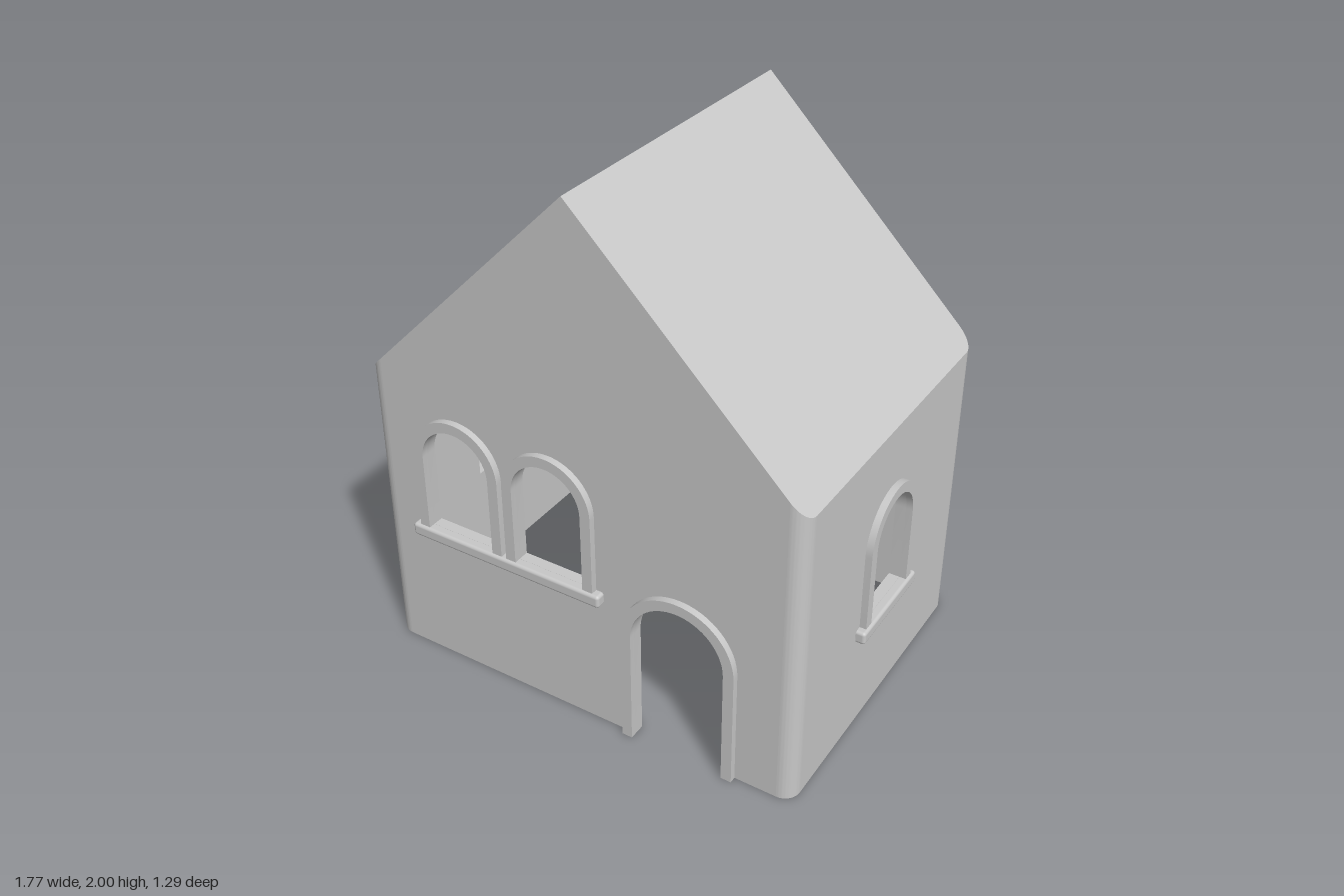
import * as THREE from 'three';
import { toCreasedNormals } from 'three/addons/utils/BufferGeometryUtils.js';
import { RoundedBoxGeometry } from 'three/addons/geometries/RoundedBoxGeometry.js';

const W = 0.85, D = 0.63, RIDGE = 2, EAVE = RIDGE - W; // half width, half depth, heights
const R = 0.06, T = 0.04;                              // corner radius, wall thickness
const TRIM = 0.04, TRIM_OUT = 0.025;                   // arch trim width and projection

const plaster = new THREE.MeshStandardMaterial({ color: 0xc8c8c8 });
plaster.name = 'plaster grey';

// Openings: centre x, sill height, arch centre height, inner radius
const frontWindows = [-0.48, -0.1].map(x => ({ x, y: 0.58, arch: 0.88, r: 0.14 }));
const door = { x: 0.41, y: 0, arch: 0.455, r: 0.18 };
const sideWindow = { x: 0, y: 0.44, arch: 0.74, r: 0.14 };

function add(parent, geometry, name) {
  const mesh = new THREE.Mesh(geometry, plaster);
  mesh.name = name;
  parent.add(mesh);
  return mesh;
}

function extrude(shape, depth, curveSegments = 16) {
  const geometry = new THREE.ExtrudeGeometry(shape, { depth, bevelEnabled: false, curveSegments });
  return toCreasedNormals(geometry, 0.5);
}

// Adds an arched line, right foot to left foot, to a path
function archLine(path, o, r) {
  path.lineTo(o.x + r, o.arch);
  path.absarc(o.x, o.arch, r, 0, Math.PI, false);
  path.lineTo(o.x - r, o.y);
}

function archHole(o) {
  const hole = new THREE.Path();
  hole.moveTo(o.x + o.r, o.y);
  archLine(hole, o, o.r);
  hole.closePath();
  return hole;
}

// Raised band round an opening
function addTrim(parent, o, name) {
  const shape = new THREE.Shape();
  const outer = o.r + TRIM;
  shape.moveTo(o.x + outer, o.y);
  archLine(shape, o, outer);
  shape.lineTo(o.x - o.r, o.y);
  shape.lineTo(o.x - o.r, o.arch);
  shape.absarc(o.x, o.arch, o.r, Math.PI, 0, true);
  shape.lineTo(o.x + o.r, o.y);
  add(parent, extrude(shape, TRIM_OUT), name);
}

function addSill(parent, x, top, width, name) {
  const sill = add(parent, new RoundedBoxGeometry(width, 0.05, 0.045, 3, 0.012), name);
  sill.position.set(x, top - 0.025, 0.0125);
}

// Gable wall outline, with an optional doorway cut up from the ground
function gableShape(doorway) {
  const x = W - R, s = new THREE.Shape();
  s.moveTo(x, 0);
  s.lineTo(x, RIDGE - x);
  s.lineTo(0, RIDGE);
  s.lineTo(-x, RIDGE - x);
  s.lineTo(-x, 0);
  if (doorway) {
    const { x: c, arch, r } = doorway;
    s.lineTo(c - r, 0);
    s.lineTo(c - r, arch);
    s.absarc(c, arch, r, Math.PI, 0, true);
    s.lineTo(c + r, 0);
  }
  return s;
}

// Group whose local z = 0 is the outer face of a wall
function facade(parent, name, distance, angle) {
  const group = new THREE.Group();
  group.name = name;
  group.rotation.y = angle;
  group.position.set(Math.sin(angle) * distance, 0, Math.cos(angle) * distance);
  parent.add(group);
  return group;
}

// Turns a plan outline into a roof plane sloping down to +x
function slope(shape, top, facingDown) {
  const geometry = new THREE.ShapeGeometry(shape, 8);
  geometry.rotateX(facingDown ? Math.PI / 2 : -Math.PI / 2);
  const p = geometry.attributes.position;
  for (let i = 0; i < p.count; i++) p.setY(i, top - p.getX(i));
  geometry.computeVertexNormals();
  return geometry;
}

export function createModel() {
  const house = new THREE.Group();
  house.name = 'house';
  house.position.z = -0.02;
  const model = new THREE.Group();
  model.name = 'cottage';
  model.add(house);

  // Front: doorway and a pair of arched windows over one sill
  const front = facade(house, 'front', D, 0);
  const frontShape = gableShape(door);
  frontShape.holes.push(...frontWindows.map(archHole));
  add(front, extrude(frontShape, T), 'frontWall').position.z = -T;
  frontWindows.forEach(o => addTrim(front, o, 'frontWindowTrim'));
  addTrim(front, door, 'doorTrim');
  addSill(front, -0.29, 0.58, 0.8, 'frontSill');

  // Back: plain gable
  const back = facade(house, 'back', D, Math.PI);
  add(back, extrude(gableShape(), T), 'backWall').position.z = -T;

  // Sides: one arched window each
  for (const [side, sign] of [['left', 1], ['right', -1]]) {
    const group = facade(house, side + 'Side', W, sign * Math.PI / 2);
    const z = D - R, s = new THREE.Shape();
    s.moveTo(-z, 0);
    s.lineTo(z, 0);
    s.lineTo(z, EAVE);
    s.lineTo(-z, EAVE);
    s.holes.push(archHole(sideWindow));
    add(group, extrude(s, T), side + 'Wall').position.z = -T;
    addTrim(group, sideWindow, side + 'WindowTrim');
    addSill(group, 0, sideWindow.y, 0.415, side + 'Sill');
  }

  // Rounded corners, cut off along the roof slope
  [[1, 1], [-1, 1], [-1, -1], [1, -1]].forEach(([sx, sy], k) => {
    const a = k * Math.PI / 2, b = a + Math.PI / 2;
    const cx = sx * (W - R), cy = sy * (D - R);
    const s = new THREE.Shape();
    s.absarc(cx, cy, R, a, b, false);
    s.absarc(cx, cy, R - T, b, a, true);
    const geometry = new THREE.ExtrudeGeometry(s, { depth: 1, bevelEnabled: false, curveSegments: 8 });
    geometry.rotateX(-Math.PI / 2);
    const p = geometry.attributes.position;
    for (let i = 0; i < p.count; i++) {
      if (p.getY(i) > 0.5) p.setY(i, RIDGE - Math.abs(p.getX(i)));
    }
    add(house, toCreasedNormals(geometry, 0.5), 'cornerWall');
  });

  // Roof: outer slope with rounded eave corners, and a ceiling slope inside
  const outer = new THREE.Shape();
  outer.moveTo(0, -D);
  outer.lineTo(W - R, -D);
  outer.absarc(W - R, -D + R, R, -Math.PI / 2, 0, false);
  outer.lineTo(W, D - R);
  outer.absarc(W - R, D - R, R, 0, Math.PI / 2, false);
  outer.lineTo(0, D);
  const x = W - T / 2, z = D - T / 2, inner = new THREE.Shape();
  inner.moveTo(0, -z);
  inner.lineTo(x, -z);
  inner.lineTo(x, z);
  inner.lineTo(0, z);
  for (const [side, angle] of [['left', 0], ['right', Math.PI]]) {
    add(house, slope(outer, RIDGE, false), side + 'Roof').rotation.y = angle;
    add(house, slope(inner, RIDGE - 0.057, true), side + 'Ceiling').rotation.y = angle;
  }
  return model;
}
